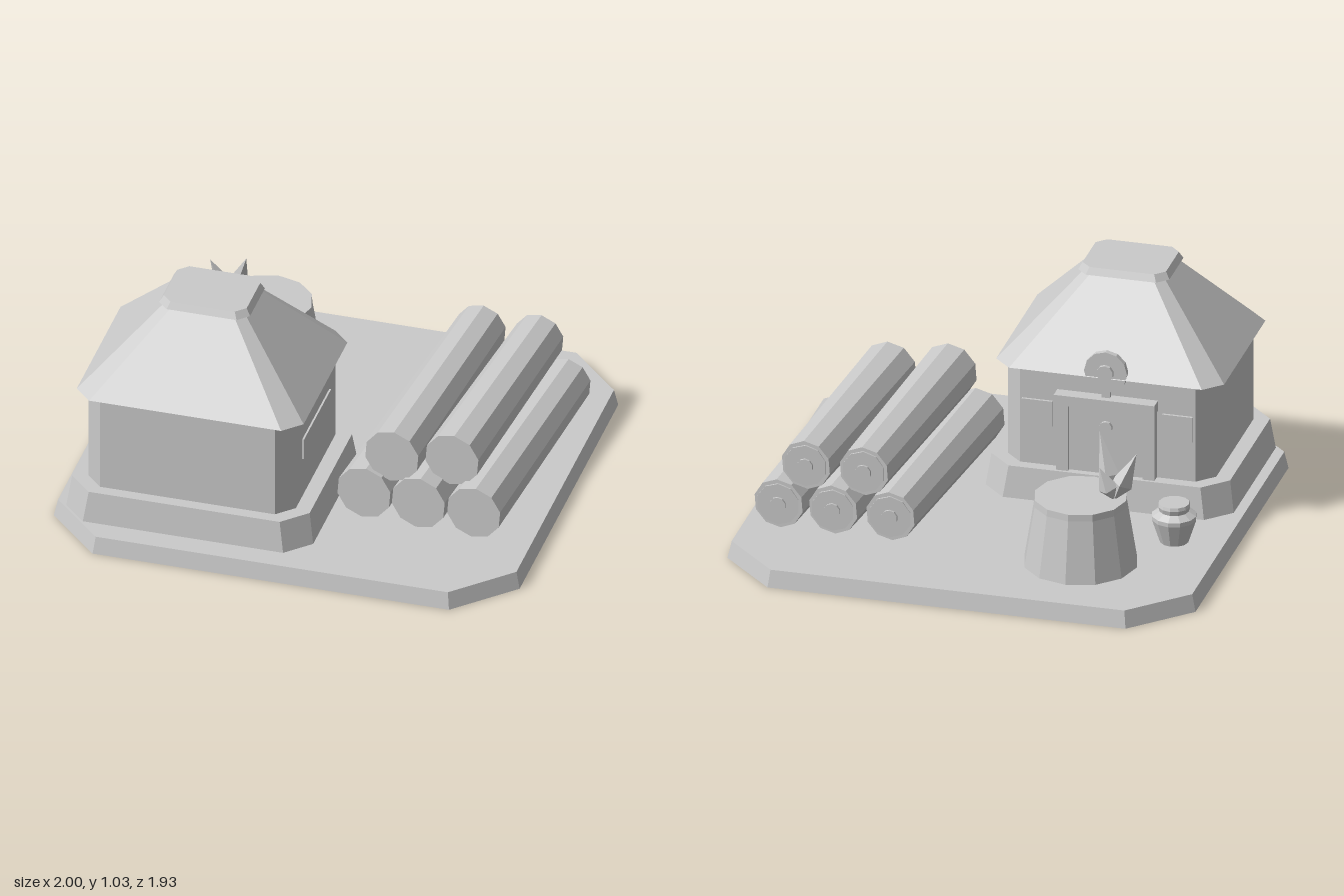
import * as THREE from 'three';

const stone = new THREE.MeshStandardMaterial({ color: 0xcacaca, side: THREE.DoubleSide });
stone.name = 'plain grey';

// Faceted mesh: every face keeps its own normal
function part(name, geometry, parent) {
  const flat = geometry.index ? geometry.toNonIndexed() : geometry;
  flat.computeVertexNormals();
  const mesh = new THREE.Mesh(flat, stone);
  mesh.name = name;
  parent.add(mesh);
  return mesh;
}

// Rectangle with cut corners, counter-clockwise from above
function cutRing([y, w, d, c]) {
  return [
    [-w + c, d], [w - c, d], [w, d - c], [w, -d + c],
    [w - c, -d], [-w + c, -d], [-w, -d + c], [-w, d - c],
  ].map(([x, z]) => [x, y, z]);
}

// Shell with an open underside between two cut rectangles,
// each [height, half width, half depth, corner cut]
function cutBlock(lower, upper) {
  const a = cutRing(lower), b = cutRing(upper), p = [];
  for (let i = 0; i < 8; i++) {
    const j = (i + 1) % 8;
    p.push(...a[i], ...a[j], ...b[j], ...a[i], ...b[j], ...b[i]);
    p.push(0, upper[0], 0, ...b[i], ...b[j]);
  }
  const g = new THREE.BufferGeometry();
  g.setAttribute('position', new THREE.Float32BufferAttribute(p, 3));
  return g;
}

function box(name, parent, w, h, d, x, y, z) {
  return part(name, new THREE.BoxGeometry(w, h, d).translate(x, y, z), parent);
}

// Disc lying against the back wall, from z0 to z1
function disc(name, parent, r, x, y, z0, z1, sides = 10) {
  const g = new THREE.CylinderGeometry(r, r, z1 - z0, sides).rotateX(Math.PI / 2);
  return part(name, g.translate(x, y, (z0 + z1) / 2), parent);
}

// Cylinder-like geometry running between two points
function span(g, from, to) {
  const a = new THREE.Vector3(...from), b = new THREE.Vector3(...to);
  const q = new THREE.Quaternion().setFromUnitVectors(
    new THREE.Vector3(0, 1, 0), b.clone().sub(a).normalize());
  g.applyQuaternion(q);
  const m = a.add(b).multiplyScalar(0.5);
  return g.translate(m.x, m.y, m.z);
}

function buildHouse() {
  const house = new THREE.Group();
  house.name = 'house';
  house.position.set(-0.41, 0, 0.42);
  part('plinth', cutBlock([0.075, 0.53, 0.43, 0.1], [0.212, 0.51, 0.412, 0.1]), house);
  part('walls', cutBlock([0.212, 0.445, 0.362, 0.07], [0.65, 0.445, 0.362, 0.07]), house);
  part('roof', cutBlock([0.65, 0.487, 0.398, 0.075], [1, 0.166, 0.131, 0.035]), house);
  part('roofCap', cutBlock([0.996, 0.195, 0.155, 0.045], [1.026, 0.178, 0.14, 0.04]), house);
  box('sideWindow', house, 0.012, 0.095, 0.4, 0.447, 0.444, 0);

  // Entrance on the rear wall
  const wall = -0.362;
  box('door', house, 0.33, 0.305, 0.03, 0, 0.364, wall - 0.005);
  disc('doorKnob', house, 0.027, 0, 0.425, wall - 0.035, wall);
  box('lintel', house, 0.43, 0.046, 0.06, 0, 0.538, wall - 0.028);
  for (const s of [-1, 1]) {
    box('doorPost', house, 0.05, 0.305, 0.045, s * 0.185, 0.364, wall - 0.015);
    box('rearWindow', house, 0.13, 0.115, 0.014, s * 0.3, 0.448, wall - 0.004);
  }

  // Round sign over the door
  box('signBracket', house, 0.035, 0.06, 0.02, 0, 0.585, wall - 0.02);
  disc('signDisc', house, 0.092, 0, 0.677, wall - 0.034, wall - 0.01, 12);
  disc('signHub', house, 0.036, 0, 0.677, wall - 0.05, wall - 0.03);
  return house;
}

function buildLogs() {
  const pile = new THREE.Group();
  pile.name = 'logPile';
  // Front x, rear x, height, front z, rear z
  const logs = [
    [0.263, 0.35, 0.193, 0.495, -0.56], [0.5, 0.595, 0.193, 0.508, -0.56],
    [0.74, 0.828, 0.193, 0.515, -0.56],
    [0.38, 0.462, 0.386, 0.485, -0.565], [0.625, 0.71, 0.384, 0.44, -0.565],
  ];
  for (const [x0, x1, y, z0, z1] of logs) {
    const log = new THREE.Group();
    log.name = 'log';
    pile.add(log);
    const rear = [x1, y, z1];
    part('trunk', span(new THREE.CylinderGeometry(0.108, 0.12, z0 - z1, 10), [x0, y, z0], rear), log);
    const end = (name, r, len) => part(name,
      span(new THREE.CylinderGeometry(r, r, len, 10), rear, [x1, y, z1 - len]), log);
    end('cutEnd', 0.092, 0.008);
    end('core', 0.034, 0.018);
  }
  return pile;
}

function buildStump() {
  const stump = new THREE.Group();
  stump.name = 'stump';
  stump.position.set(-0.455, 0, -0.53);
  part('stumpBody', new THREE.CylinderGeometry(0.196, 0.24, 0.27, 12).translate(0, 0.21, 0), stump);
  part('stumpTop', new THREE.CylinderGeometry(0.195, 0.197, 0.03, 12).translate(0, 0.358, 0), stump);
  // Pointed leaves fanning out from the top
  const root = [-0.14, 0.365, 0.01];
  for (const tip of [[-0.055, 0.63, 0.097], [-0.225, 0.565, 0.05], [-0.08, 0.51, 0]]) {
    const length = Math.hypot(...tip.map((v, i) => v - root[i]));
    const blade = new THREE.ConeGeometry(0.045, length * 0.65, 4).translate(0, length * 0.175, 0);
    const foot = new THREE.ConeGeometry(0.045, length * 0.35, 4).rotateX(Math.PI).translate(0, -length * 0.325, 0);
    part('leafTip', span(blade, root, tip), stump);
    part('leafBase', span(foot, root, tip), stump);
  }
  return stump;
}

function buildPot() {
  const profile = [[0, 0.075], [0.06, 0.075], [0.094, 0.178], [0.094, 0.196],
    [0.062, 0.215], [0.068, 0.236], [0.064, 0.25], [0, 0.25]];
  const g = new THREE.LatheGeometry(profile.map(([r, y]) => new THREE.Vector2(r, y)), 12);
  const pot = new THREE.Group();
  pot.name = 'lidded pot';
  pot.position.set(-0.775, 0, -0.237);
  part('potBody', g, pot);
  return pot;
}

export function createModel() {
  const model = new THREE.Group();
  model.name = 'woodcutter yard';
  part('base', cutBlock([0, 1, 0.963, 0.235], [0.075, 0.984, 0.948, 0.228]), model);
  model.add(buildHouse(), buildLogs(), buildStump(), buildPot());
  return model;
}
